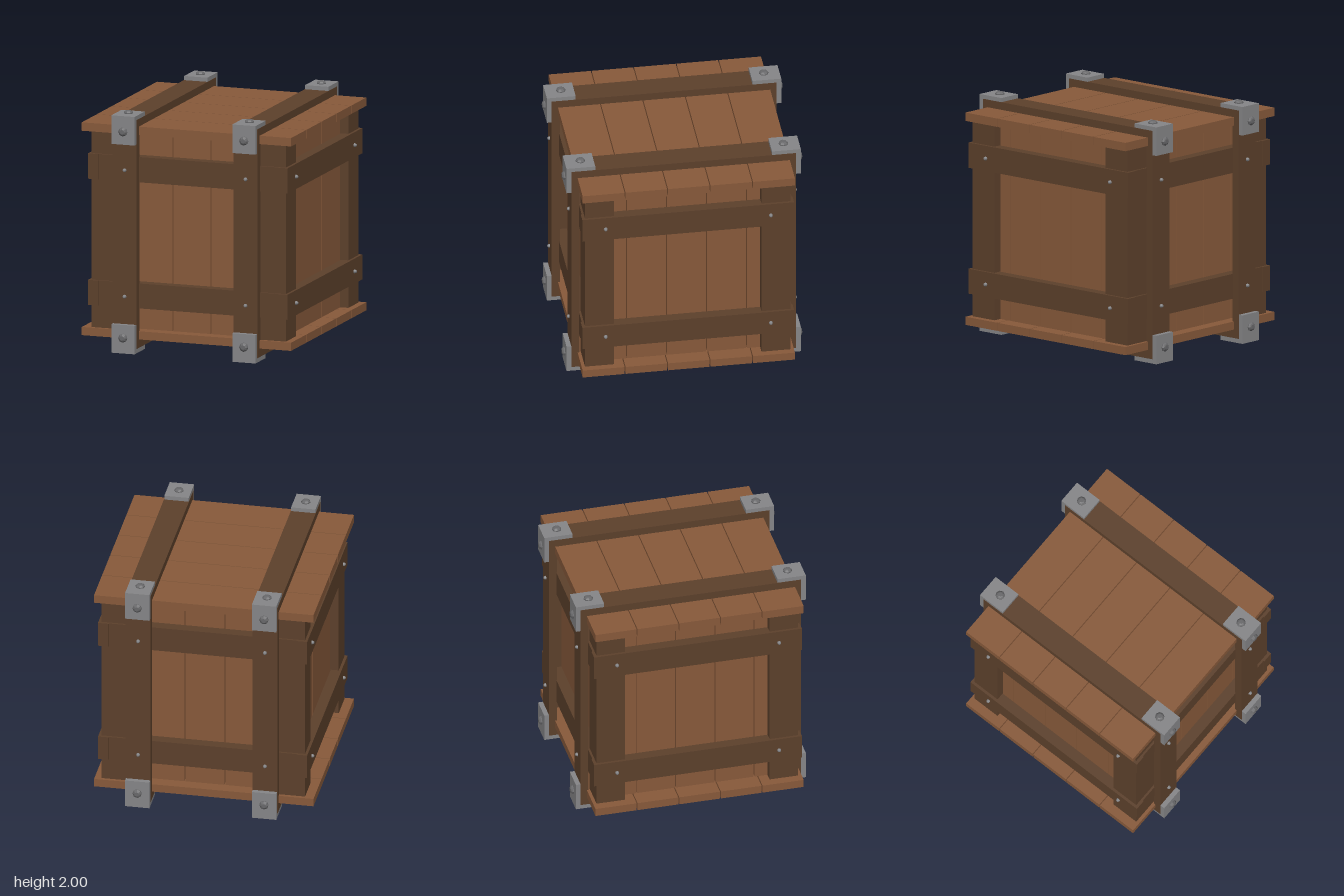
import * as THREE from 'three';

const mat = (name, color) => Object.assign(new THREE.MeshStandardMaterial({ color }), { name });

export function createModel() {
  const plankWood = mat('plankWood', 0x87593a);
  const frameWood = mat('frameWood', 0x5c402b);
  const iron = mat('iron', 0x858587);
  const boltIron = mat('boltIron', 0x68686a);
  boltIron.flatShading = true;

  const model = new THREE.Group();
  model.name = 'crate';
  const group = (name) => {
    const g = new THREE.Group();
    g.name = name;
    model.add(g);
    return g;
  };
  const add = (parent, name, geometry, material, x = 0, y = 0, z = 0) => {
    const mesh = new THREE.Mesh(geometry, material);
    mesh.name = name;
    mesh.position.set(x, y, z);
    parent.add(mesh);
    return mesh;
  };
  // box given by its lower and upper corners
  const block = (parent, name, material, [x0, y0, z0], [x1, y1, z1]) =>
    add(parent, name, new THREE.BoxGeometry(x1 - x0, y1 - y0, z1 - z0), material,
      (x0 + x1) / 2, (y0 + y1) / 2, (z0 + z1) / 2);

  const CX = 0.01; // the body sits slightly to the left of centre
  const GAP = 0.004; // half the slit between planks

  // lid and floor: five planks each, running across
  for (const [name, y0, y1] of [['floor', 0.13, 0.197], ['lid', 1.811, 1.88]]) {
    const g = group(name);
    for (let i = 0; i < 5; i++) {
      const z = -0.865 + i * 0.346;
      block(g, name + 'Plank', plankWood,
        [-0.9, y0, z + (i ? GAP : 0)], [0.9, y1, z + 0.346 - (i < 4 ? GAP : 0)]);
    }
  }

  // walls: upright planks set back behind the posts
  const walls = group('walls');
  const cuts = [-0.76, -0.49, -0.164, 0.164, 0.49, 0.76];
  for (let i = 0; i < 5; i++) {
    const a = cuts[i] + GAP, b = cuts[i + 1] - GAP;
    for (const s of [-1, 1]) {
      const zs = [s * 0.765, s * 0.705].sort((p, q) => p - q);
      block(walls, s > 0 ? 'frontPlank' : 'backPlank', plankWood,
        [CX + a, 0.197, zs[0]], [CX + b, 1.811, zs[1]]);
      block(walls, s > 0 ? 'leftPlank' : 'rightPlank', plankWood,
        [CX + zs[0], 0.197, a], [CX + zs[1], 1.811, b]);
    }
  }

  // square corner posts
  const posts = group('cornerPosts');
  for (const sx of [-1, 1]) {
    for (const sz of [-1, 1]) {
      add(posts, 'cornerPost', new THREE.BoxGeometry(0.237, 1.614, 0.237), frameWood,
        CX + sx * 0.717, 1.004, sz * 0.719);
    }
  }

  // a small dome-like bolt head pointing along +y
  const boltGeometry = (r, h) => new THREE.LatheGeometry([
    [r, 0], [r, h * 0.35], [r * 0.75, h * 0.8], [r * 0.5, h], [0, h],
  ].map(([x, y]) => new THREE.Vector2(x, y)), 8);
  const headGeometry = boltGeometry(0.038, 0.024);
  const nailGeometry = boltGeometry(0.016, 0.022);

  // two rows of battens around the body, nailed at the ends
  const battens = group('battens');
  for (const [y0, y1] of [[0.383, 0.588], [1.42, 1.628]]) {
    const y = (y0 + y1) / 2;
    for (const s of [-1, 1]) {
      add(battens, 'crossBatten', new THREE.BoxGeometry(1.70, y1 - y0, 0.088), frameWood, CX, y, s * 0.811);
      add(battens, 'sideBatten', new THREE.BoxGeometry(0.088, y1 - y0, 1.726), frameWood, CX + s * 0.814, y, 0);
      for (const z of [-0.673, 0.673]) {
        add(battens, 'nail', nailGeometry, iron, CX + s * 0.857, y, z).rotation.z = -s * Math.PI / 2;
      }
    }
  }

  // closed wooden hoops running front to back, with iron corner brackets
  const rect = (Type, w, y0, y1) => {
    const path = new Type();
    path.moveTo(-w, y0).lineTo(w, y0).lineTo(w, y1).lineTo(-w, y1).closePath();
    return path;
  };
  const sideExtrude = (shape, width) => new THREE.ExtrudeGeometry(shape, { depth: width, bevelEnabled: false })
    .translate(0, 0, -width / 2).rotateY(Math.PI / 2);
  const hoopShape = rect(THREE.Shape, 0.916, 0.06, 1.942);
  hoopShape.holes.push(rect(THREE.Path, 0.85, 0.13, 1.88));
  const hoopGeometry = sideExtrude(hoopShape, 0.205);

  const L = 0.235, T = 0.04;
  const angleShape = new THREE.Shape(
    [[0, 0], [0, -L], [T, -L], [T, -T], [L, -T], [L, 0]].map(([x, y]) => new THREE.Vector2(x, y)));
  const angleGeometry = sideExtrude(angleShape, 0.2);

  for (const [name, x] of [['rightStrap', -0.512], ['leftStrap', 0.528]]) {
    const strap = group(name);
    strap.position.x = x;
    add(strap, 'hoop', hoopGeometry, frameWood);

    for (let k = 0; k < 4; k++) {
      const corner = new THREE.Group();
      corner.name = 'cornerBracket';
      corner.rotation.x = k * Math.PI / 2;
      corner.position.set(0, k === 0 || k === 3 ? 1.976 : 0.024, k < 2 ? 0.955 : -0.955);
      strap.add(corner);
      add(corner, 'bracket', angleGeometry, iron);
      add(corner, 'bolt', headGeometry, boltIron, 0, 0, -0.128);
      add(corner, 'bolt', headGeometry, boltIron, 0, -0.128, 0).rotation.x = Math.PI / 2;
    }

    // nails through the hoop into the battens
    for (const y of [0.485, 1.524]) {
      for (const s of [-1, 1]) {
        add(strap, 'nail', nailGeometry, iron, 0, y, s * 0.914).rotation.x = s * Math.PI / 2;
      }
    }
  }

  return model;
}
